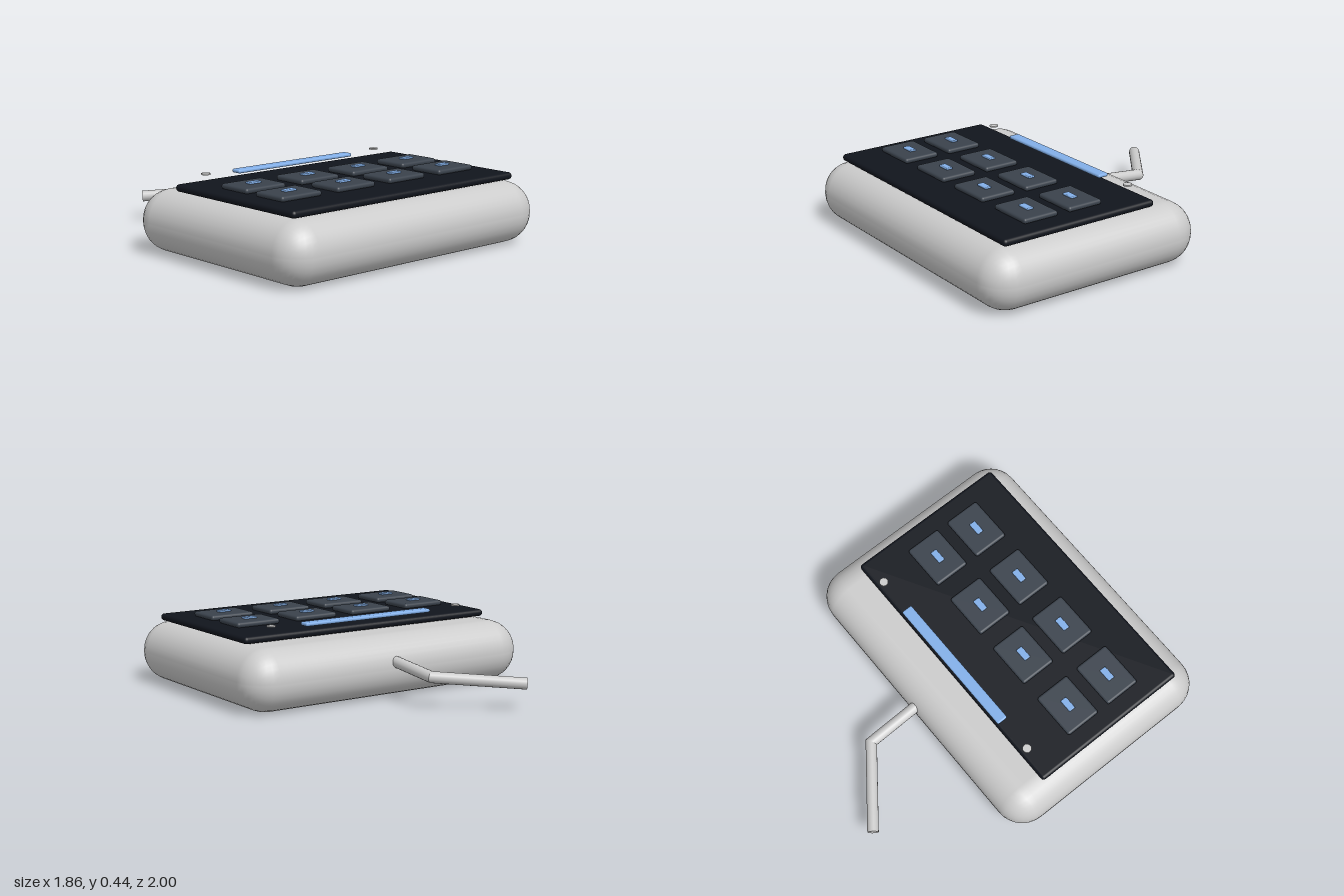
import * as THREE from 'three';
import { RoundedBoxGeometry } from 'three/addons/geometries/RoundedBoxGeometry.js';

const material = (color) => new THREE.MeshStandardMaterial({ color });

export function createModel() {
  const model = new THREE.Group();
  const grey = material(0xcccccc);
  const black = material(0x11151d);
  const slate = material(0x3a424c);
  const blue = material(0x82afe8);

  const add = (name, geometry, mat, x = 0, y = 0, z = 0) => {
    const mesh = new THREE.Mesh(geometry, mat);
    mesh.name = name;
    mesh.position.set(x, y, z);
    model.add(mesh);
    return mesh;
  };

  // Pillow-like casing and the flat control panel on it
  add('casing', new RoundedBoxGeometry(1.86, 0.35, 1.36, 4, 0.17), grey, 0, 0.175, 0.32);
  add('panel', new RoundedBoxGeometry(1.64, 0.04, 0.97, 3, 0.019), black, 0, 0.374, 0.385);

  // Two rows of four buttons, each with a small marker
  const buttonShape = new RoundedBoxGeometry(0.275, 0.03, 0.215, 3, 0.014);
  const markerShape = new RoundedBoxGeometry(0.08, 0.012, 0.04, 2, 0.005);
  for (const z of [0.275, 0.56]) {
    for (const x of [-0.58, -0.195, 0.185, 0.57]) {
      add('button', buttonShape, slate, x, 0.409, z);
      add('buttonMarker', markerShape, blue, x, 0.428, z);
    }
  }

  // Light strip and the round studs beside it
  add('lightStrip', new RoundedBoxGeometry(0.855, 0.021, 0.066, 3, 0.01), blue, 0, 0.423, -0.064);
  for (const x of [-0.635, 0.635]) {
    add('stud', new THREE.CylinderGeometry(0.025, 0.025, 0.008, 20), grey, x, 0.433, -0.064);
  }

  // Cable: two straight lengths mitred where they meet
  const start = new THREE.Vector3(0, 0.21, -0.345);
  const bend = new THREE.Vector3(0, 0.178, -0.665);
  const end = new THREE.Vector3(-0.41, 0.146, -0.973);
  const dirA = bend.clone().sub(start).normalize();
  const dirB = end.clone().sub(bend).normalize();
  const mitre = dirA.clone().add(dirB).normalize();
  const cable = (name, from, to) => {
    const dir = to.clone().sub(from);
    const length = dir.length();
    dir.normalize();
    const g = new THREE.CylinderGeometry(0.032, 0.032, length, 16);
    g.applyQuaternion(new THREE.Quaternion().setFromUnitVectors(new THREE.Vector3(0, 1, 0), dir));
    const mid = from.clone().add(to).multiplyScalar(0.5);
    g.translate(mid.x, mid.y, mid.z);
    // Slide the ring at the bend along the cable onto the mitre plane
    const pos = g.attributes.position;
    const v = new THREE.Vector3();
    for (let i = 0; i < pos.count; i++) {
      v.fromBufferAttribute(pos, i);
      if (v.distanceTo(bend) > 0.05) continue;
      v.addScaledVector(dir, -v.clone().sub(bend).dot(mitre) / dir.dot(mitre));
      pos.setXYZ(i, v.x, v.y, v.z);
    }
    add(name, g, grey);
  };
  cable('cableInner', start, bend);
  cable('cableOuter', bend, end);

  return model;
}
